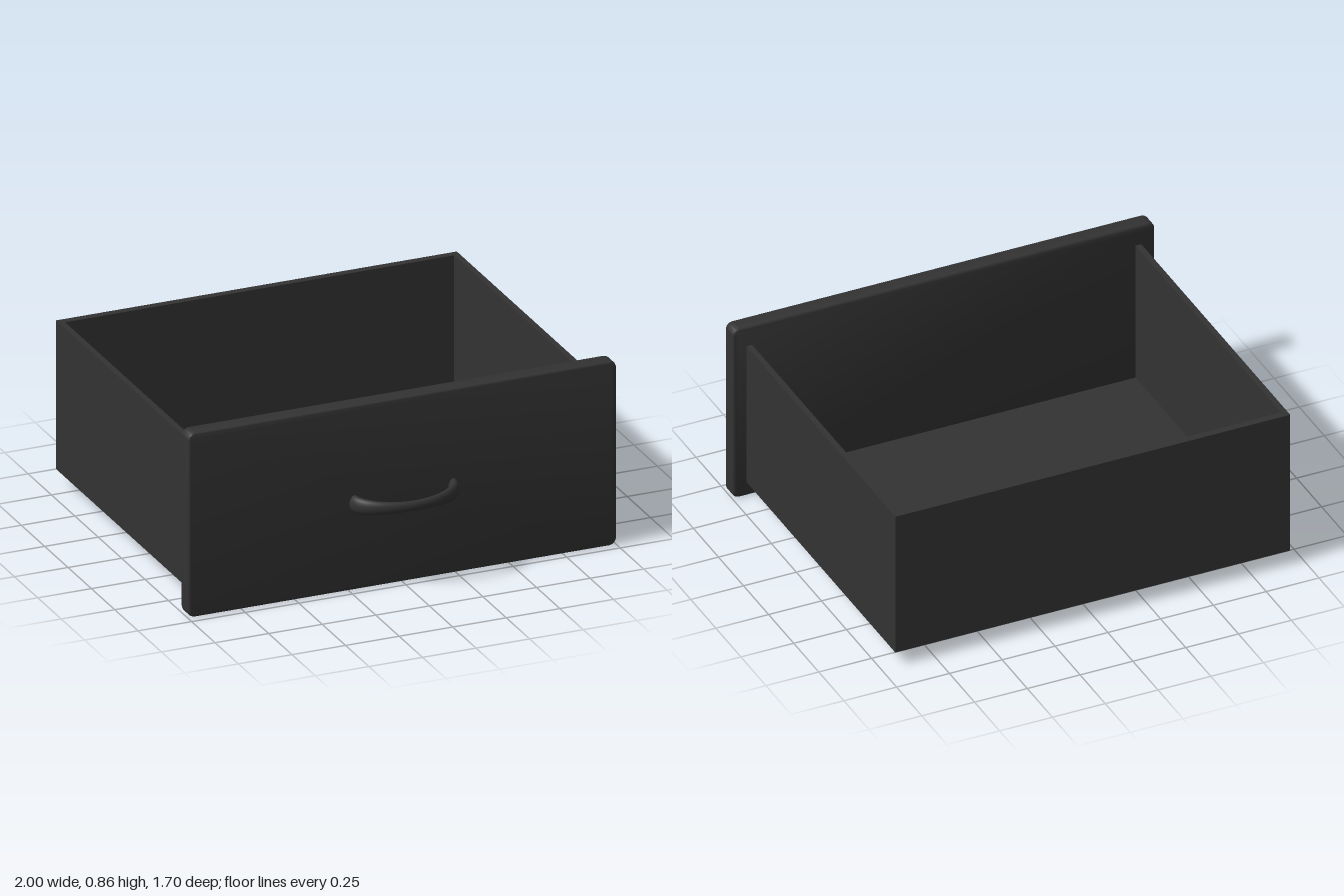
import * as THREE from 'three';
import { toCreasedNormals } from 'three/addons/utils/BufferGeometryUtils.js';
import { ParametricGeometry } from 'three/addons/geometries/ParametricGeometry.js';

const BACK = -0.85, PANEL_BACK = 0.634, PANEL_FRONT = 0.713;

function createPanelGeometry() {
  const bevel = 0.012, r = 0.022;
  const x = 1 - bevel, y0 = bevel, y1 = 0.858 - bevel;
  const s = new THREE.Shape();
  s.moveTo(-x + r, y0);
  s.lineTo(x - r, y0);
  s.absarc(x - r, y0 + r, r, -Math.PI / 2, 0);
  s.absarc(x - r, y1 - r, r, 0, Math.PI / 2);
  s.absarc(-x + r, y1 - r, r, Math.PI / 2, Math.PI);
  s.absarc(-x + r, y0 + r, r, Math.PI, Math.PI * 1.5);
  const g = new THREE.ExtrudeGeometry(s, {
    depth: PANEL_FRONT - PANEL_BACK - 2 * bevel,
    bevelSize: bevel, bevelThickness: bevel, bevelSegments: 4, curveSegments: 6,
  });
  g.translate(0, 0, PANEL_BACK + bevel);
  return toCreasedNormals(g, 0.7);
}

function createWallsGeometry() {
  // U-shaped plan, open toward the front panel; shape y is -z
  const xo = 0.935, xi = 0.908, f = -PANEL_BACK - 0.005, b = -BACK, bi = 0.816;
  const s = new THREE.Shape([
    [-xo, f], [-xi, f], [-xi, bi], [xi, bi], [xi, f], [xo, f], [xo, b], [-xo, b],
  ].map(([x, y]) => new THREE.Vector2(x, y)));
  const g = new THREE.ExtrudeGeometry(s, { depth: 0.692, bevelEnabled: false });
  g.rotateX(-Math.PI / 2);
  g.translate(0, 0.07, 0);
  return g;
}

function createHandleGeometry() {
  // Half-ellipse bow, thicker where it meets the panel
  return new ParametricGeometry((u, v, p) => {
    const t = u * Math.PI, a = v * Math.PI * 2;
    const end = Math.cos(t) ** 2;
    const thick = 0.015 + 0.009 * end;
    const tall = 0.023 + 0.016 * end;
    const out = Math.cos(a) * thick;
    p.set(
      0.007 - Math.cos(t) * (0.231 + out),
      0.402 + Math.sin(a) * tall,
      PANEL_FRONT - 0.004 + Math.sin(t) * (0.126 + out)
    );
  }, 32, 20);
}

export function createModel() {
  const model = new THREE.Group();
  model.name = 'drawer';
  const material = new THREE.MeshStandardMaterial({ color: 0x333333 });
  const add = (name, geometry) => {
    const mesh = new THREE.Mesh(geometry, material);
    mesh.name = name;
    model.add(mesh);
    return mesh;
  };

  add('frontPanel', createPanelGeometry());
  add('sideAndBackWalls', createWallsGeometry());

  // Thin floor between the walls
  const depth = PANEL_BACK + 0.005 + 0.82;
  add('floor', new THREE.BoxGeometry(1.82, 0.02, depth))
    .position.set(0, 0.08, -0.82 + depth / 2);

  add('handle', createHandleGeometry());
  return model;
}
